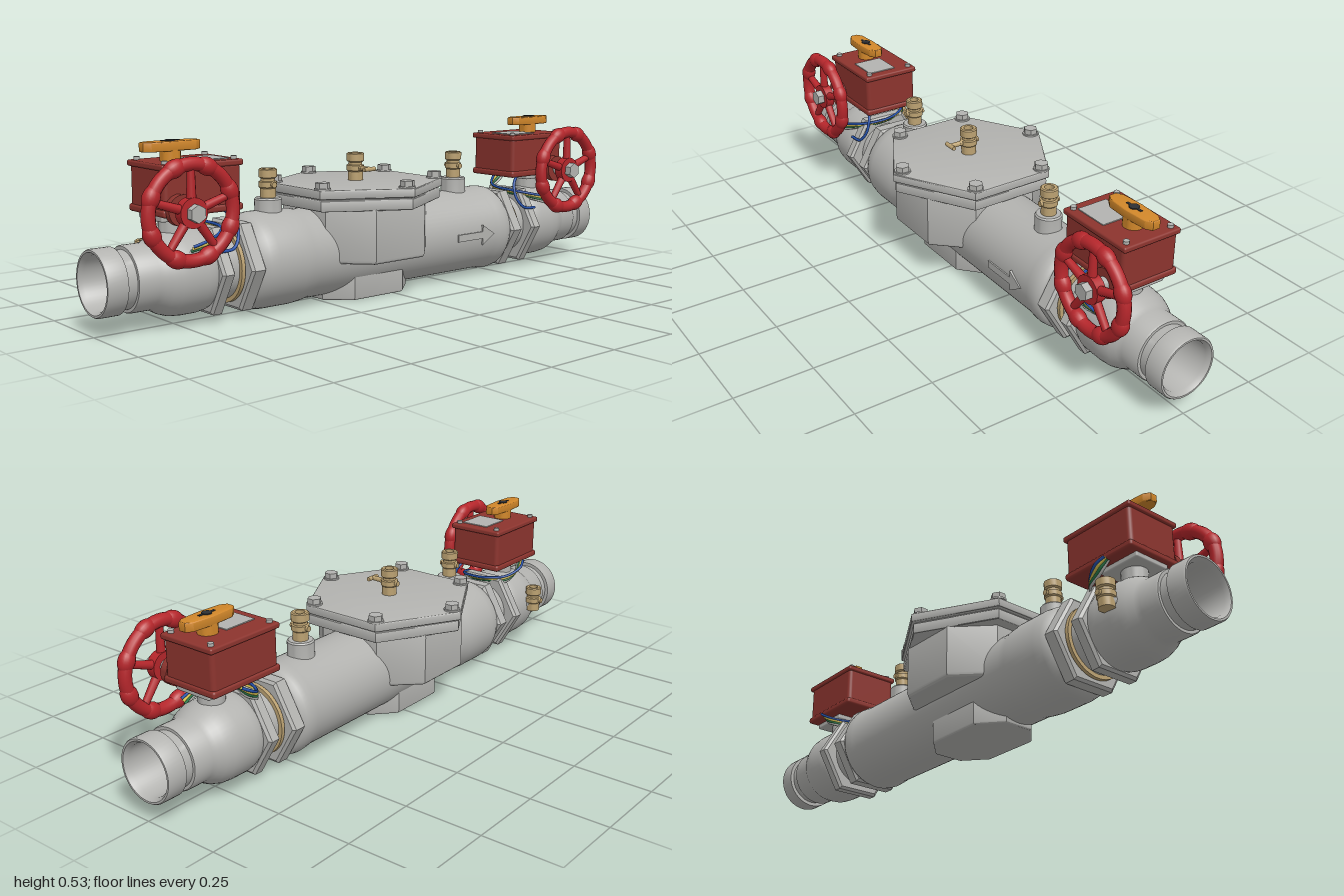
import * as THREE from 'three';
import { toCreasedNormals } from 'three/addons/utils/BufferGeometryUtils.js';
import { RoundedBoxGeometry } from 'three/addons/geometries/RoundedBoxGeometry.js';

const AXIS = 0.155; // height of the pipe centreline
const MID = -0.067; // x of the central cover

const paint = (name, color) => {
  const m = new THREE.MeshStandardMaterial({ color });
  m.name = name;
  return m;
};
const grey = paint('cast grey', 0xb3b3b0);
const boxRed = paint('housing red', 0x8c342e);
const wheelRed = paint('wheel red', 0xb5262b);
const orange = paint('handle orange', 0xd1872a);
const brass = paint('brass', 0xbca272);
const blue = paint('wire blue', 0x2450a8);
const green = paint('wire green', 0x2b7a4b);
const yellow = paint('wire yellow', 0xd6c050);
const dark = paint('dark', 0x2e3034);

function add(parent, name, geo, mat, x = 0, y = 0, z = 0) {
  const m = new THREE.Mesh(geo, mat);
  m.name = name;
  m.position.set(x, y, z);
  parent.add(m);
  return m;
}

const crease = (g, a = 0.6) => toCreasedNormals(g, a);
const lathe = (pts, seg = 48) =>
  crease(new THREE.LatheGeometry(pts.map(p => new THREE.Vector2(p[0], p[1])), seg));
const cyl = (r, h, seg = 24, r2 = r) => crease(new THREE.CylinderGeometry(r2, r, h, seg));
const cylZ = (r, h, seg = 24) => cyl(r, h, seg).rotateX(Math.PI / 2);

// upright prism with bevelled edges, outline given in x and z
function prism(pts, y0, y1, bevel) {
  const shape = new THREE.Shape(pts.map(p => new THREE.Vector2(p[0], -p[1])));
  const g = new THREE.ExtrudeGeometry(shape, {
    depth: y1 - y0 - 2 * bevel, bevelSize: bevel, bevelThickness: bevel,
    bevelOffset: -bevel, bevelSegments: 3,
  });
  return crease(g.translate(0, 0, y0 + bevel).rotateX(-Math.PI / 2), 0.5);
}
const octagon = (a, b, c, d) =>
  [[a, d], [b, c], [b, -c], [a, -d], [-a, -d], [-b, -c], [-b, c], [-a, d]];

// six-sided nut along x, with chamfered rims
const hexNut = (r, w) =>
  toCreasedNormals(new THREE.LatheGeometry([[0.08, -w / 2], [r - 0.01, -w / 2], [r, -w / 2 + 0.007],
    [r, w / 2 - 0.007], [r - 0.01, w / 2], [0.08, w / 2]].map(p => new THREE.Vector2(...p)), 6), 0.2)
    .rotateZ(-Math.PI / 2);

// small brass test cock standing on y
function testCock(parent, x, y, z) {
  const g = new THREE.Group();
  g.name = 'testCock';
  g.position.set(x, y, z);
  add(g, 'cockBody', lathe([[0, 0], [0.024, 0], [0.024, 0.028], [0.028, 0.032], [0.028, 0.048],
    [0.022, 0.05], [0.022, 0.058], [0.028, 0.062], [0.028, 0.085], [0.024, 0.088], [0.015, 0.088],
    [0.015, 0.07], [0, 0.07]], 24), brass);
  add(g, 'cockBore', cyl(0.0145, 0.004, 16), dark, 0, 0.072, 0);
  add(g, 'cockPin', cylZ(0.009, 0.07, 12), brass, 0, 0.04, 0);
  parent.add(g);
  return g;
}

function handwheel(parent, x) {
  const g = new THREE.Group();
  g.name = 'handwheel';
  g.position.set(x, 0.35, 0.162);
  const R = 0.134;
  add(g, 'rim', new THREE.TorusGeometry(R, 0.02, 14, 64), wheelRed);
  for (let i = 0; i < 8; i++) {
    const a = (i + 0.5) * Math.PI / 4;
    const lump = add(g, 'rimGrip', new THREE.SphereGeometry(1, 20, 14), wheelRed,
      R * Math.cos(a), R * Math.sin(a), 0);
    lump.scale.set(0.026, 0.036, 0.0235);
    lump.rotation.z = a;
  }
  for (let i = 0; i < 5; i++) {
    const a = Math.PI / 2 + i * Math.PI * 2 / 5;
    const spoke = add(g, 'spoke', new THREE.CylinderGeometry(0.011, 0.015, R, 12), wheelRed,
      R / 2 * Math.cos(a), R / 2 * Math.sin(a), 0);
    spoke.rotation.z = a - Math.PI / 2;
  }
  add(g, 'hub', cylZ(0.043, 0.03), wheelRed);
  add(g, 'shaft', cylZ(0.02, 0.09), grey, 0, 0, -0.025);
  add(g, 'hubNut', cylZ(0.026, 0.024, 6), grey, 0, 0, 0.026);
  parent.add(g);
}

// shut-off valve on one end of the pipe; s = +1 or -1
function shutoffValve(s) {
  const g = new THREE.Group();
  g.name = s > 0 ? 'leftValve' : 'rightValve';
  const body = add(g, 'valveBody', lathe([[0.1, 0.55], [0.1, 0.64], [0.117, 0.66], [0.124, 0.68],
    [0.126, 0.7], [0.126, 0.75], [0.123, 0.78], [0.114, 0.805], [0.103, 0.825], [0.097, 0.84],
    [0.097, 0.9], [0.094, 0.905], [0.085, 0.905], [0.085, 0.938], [0.097, 0.938], [0.097, 0.995],
    [0.094, 1], [0.088, 1], [0.079, 0.985], [0.079, 0.8], [0, 0.8]]), grey, 0, AXIS, 0);
  body.rotation.z = -s * Math.PI / 2;
  add(g, 'outerNut', hexNut(0.148, 0.042), grey, s * 0.645, AXIS, 0);
  add(g, 'innerNut', hexNut(0.15, 0.05), grey, s * 0.543, AXIS, 0);
  add(g, 'gasket', cyl(0.113, 0.012, 48).rotateZ(Math.PI / 2), brass, s * 0.577, AXIS, 0);

  // neck and mounting plate
  const cx = s * 0.745;
  add(g, 'neck', cyl(0.04, 0.08), grey, cx, 0.285, 0);
  add(g, 'mountPlate', new RoundedBoxGeometry(0.14, 0.018, 0.13, 2, 0.005), grey, cx, 0.322, 0);

  // gear housing
  const bx = s * 0.696;
  add(g, 'housing', new RoundedBoxGeometry(0.255, 0.14, 0.19, 3, 0.014), boxRed, bx, 0.4, 0);
  add(g, 'housingBase', new RoundedBoxGeometry(0.264, 0.022, 0.2, 3, 0.008), boxRed, bx, 0.341, 0);
  add(g, 'housingLid', new RoundedBoxGeometry(0.268, 0.018, 0.2, 3, 0.006), boxRed, bx, 0.469, 0);
  for (const i of [-1, 1]) for (const j of [-1, 1])
    add(g, 'lidScrew', cyl(0.009, 0.01, 12), grey, bx + i * 0.113, 0.482, j * 0.078);
  add(g, 'namePlate', new THREE.BoxGeometry(0.11, 0.004, 0.1), grey, s * 0.648, 0.479, 0.02);
  add(g, 'shaftBoss', cylZ(0.045, 0.024, 32), boxRed, s * 0.777, 0.35, 0.106);

  // orange position handle
  add(g, 'handleHub', cyl(0.03, 0.035), orange, cx, 0.495, 0);
  const half = 0.092, grip = octagon(half - 0.02, half, 0.012, 0.025);
  grip.splice(4, 0, [0, -0.03]);
  grip.unshift([0, 0.03]);
  grip.push(grip.shift());
  grip.push(grip.shift());
  // outline order restarted so that both bulges stay between the long sides
  const outline = [[0.072, 0.025], [0.092, 0.012], [0.092, -0.012], [0.072, -0.025], [0, -0.03],
    [-0.072, -0.025], [-0.092, -0.012], [-0.092, 0.012], [-0.072, 0.025], [0, 0.03]];
  add(g, 'handle', prism(outline, 0.506, 0.534, 0.004), orange, cx, 0, 0);
  add(g, 'handleScrew', cyl(0.015, 0.006, 16), dark, cx, 0.534, 0);
  add(g, 'handleMark', new THREE.BoxGeometry(0.06, 0.004, 0.008), dark, cx, 0.534, 0);

  handwheel(g, s * 0.777);

  // loose wires looping round the neck
  [blue, yellow, green, grey].forEach((mat, i) => {
    const d = i * 0.007;
    const path = [[0.73, 0.335, -0.105 + d], [0.7, 0.318 - d, -0.113 + d], [0.65, 0.292 - d, -0.085],
      [0.61 + d, 0.284 - d, -0.02], [0.61 + d, 0.28 - d, 0.04], [0.64 + d, 0.272 - d, 0.09],
      [0.7, 0.258 - d, 0.122], [0.75, 0.245 - d, 0.122 - d]];
    const curve = new THREE.CatmullRomCurve3(path.map(p => new THREE.Vector3(s * p[0], p[1], p[2])));
    add(g, 'wire', new THREE.TubeGeometry(curve, 40, 0.0045, 8), mat);
  });
  const drop = new THREE.CatmullRomCurve3([[0.62, 0.335, 0.07], [0.588, 0.305, 0.085],
    [0.585, 0.26, 0.1], [0.61, 0.225, 0.115], [0.66, 0.22, 0.12]]
    .map(p => new THREE.Vector3(s * p[0], p[1], p[2])));
  add(g, 'dropWire', new THREE.TubeGeometry(drop, 30, 0.005, 8), blue);
  return g;
}

export function createModel() {
  const model = new THREE.Group();
  model.name = 'backflowValve';

  // main pipe body
  const body = add(model, 'mainBody', lathe([[0, -0.53], [0.122, -0.53], [0.136, -0.52], [0.145, -0.5],
    [0.149, -0.47], [0.149, -0.37], [0.146, -0.34], [0.141, -0.31], [0.141, 0.44], [0.144, 0.46],
    [0.146, 0.485], [0.143, 0.505], [0.135, 0.518], [0.122, 0.525], [0, 0.525]], 64), grey, 0, AXIS, 0);
  body.rotation.z = -Math.PI / 2;
  add(model, 'foot', prism(octagon(0.1, 0.175, 0.05, 0.118), 0.004, 0.12, 0.008), grey, MID, 0, 0);

  // central chamber, flange and cover
  add(model, 'chamber', prism(octagon(0.1, 0.208, 0.11, 0.222), 0.132, 0.31, 0.014), grey, MID, 0, 0);
  const cover = k => [[0, 0.285], [0.252, 0.14], [0.252, -0.14], [0, -0.285], [-0.252, -0.14], [-0.252, 0.14]]
    .map(p => [p[0] * k, p[1] * k]);
  add(model, 'flange', prism(cover(0.97), 0.3, 0.335, 0.005), grey, MID, 0, 0);
  add(model, 'coverSeal', prism(cover(0.94), 0.333, 0.341, 0.001), grey, MID, 0, 0);
  add(model, 'cover', prism(cover(1), 0.339, 0.367, 0.005), grey, MID, 0, 0);
  for (const [x, z] of [[0, 0.25], [0.23, 0.125], [0.23, -0.125], [0, -0.25], [-0.23, -0.125], [-0.23, 0.125]]) {
    add(model, 'boltWasher', cyl(0.026, 0.006), grey, MID + x, 0.369, z);
    add(model, 'coverBolt', cyl(0.023, 0.02, 6), grey, MID + x, 0.379, z);
  }

  // test cocks on bosses along the top
  for (const x of [-0.41, 0.37]) {
    add(model, 'cockBoss', lathe([[0.046, 0.26], [0.042, 0.3], [0.042, 0.337], [0.038, 0.342], [0, 0.342]], 32),
      grey, x, 0, 0);
    testCock(model, x, 0.342, 0);
  }
  const topCock = testCock(model, MID, 0.367, 0);
  add(topCock, 'cockLever', cylZ(0.008, 0.06, 12), brass, 0, 0.04, 0.04);
  add(topCock, 'cockTee', cyl(0.007, 0.045, 12).rotateZ(Math.PI / 2), brass, 0, 0.04, 0.07);

  // raised flow arrow on the front
  const arrow = new THREE.Shape([[-0.085, 0.012], [0.03, 0.012], [0.03, 0.034], [0.085, 0],
    [0.03, -0.034], [0.03, -0.012], [-0.085, -0.012]].reverse().map(p => new THREE.Vector2(...p)));
  add(model, 'flowArrow', new THREE.ExtrudeGeometry(arrow, { depth: 0.009, bevelEnabled: false }),
    grey, 0.345, AXIS, 0.136);

  // shut-off valves at both ends, one with a side test cock at the back
  for (const s of [1, -1]) model.add(shutoffValve(s));
  add(model, 'sideBoss', cylZ(0.024, 0.05), grey, -0.76, 0.17, -0.11);
  testCock(model, -0.76, 0.145, -0.138);
  return model;
}
